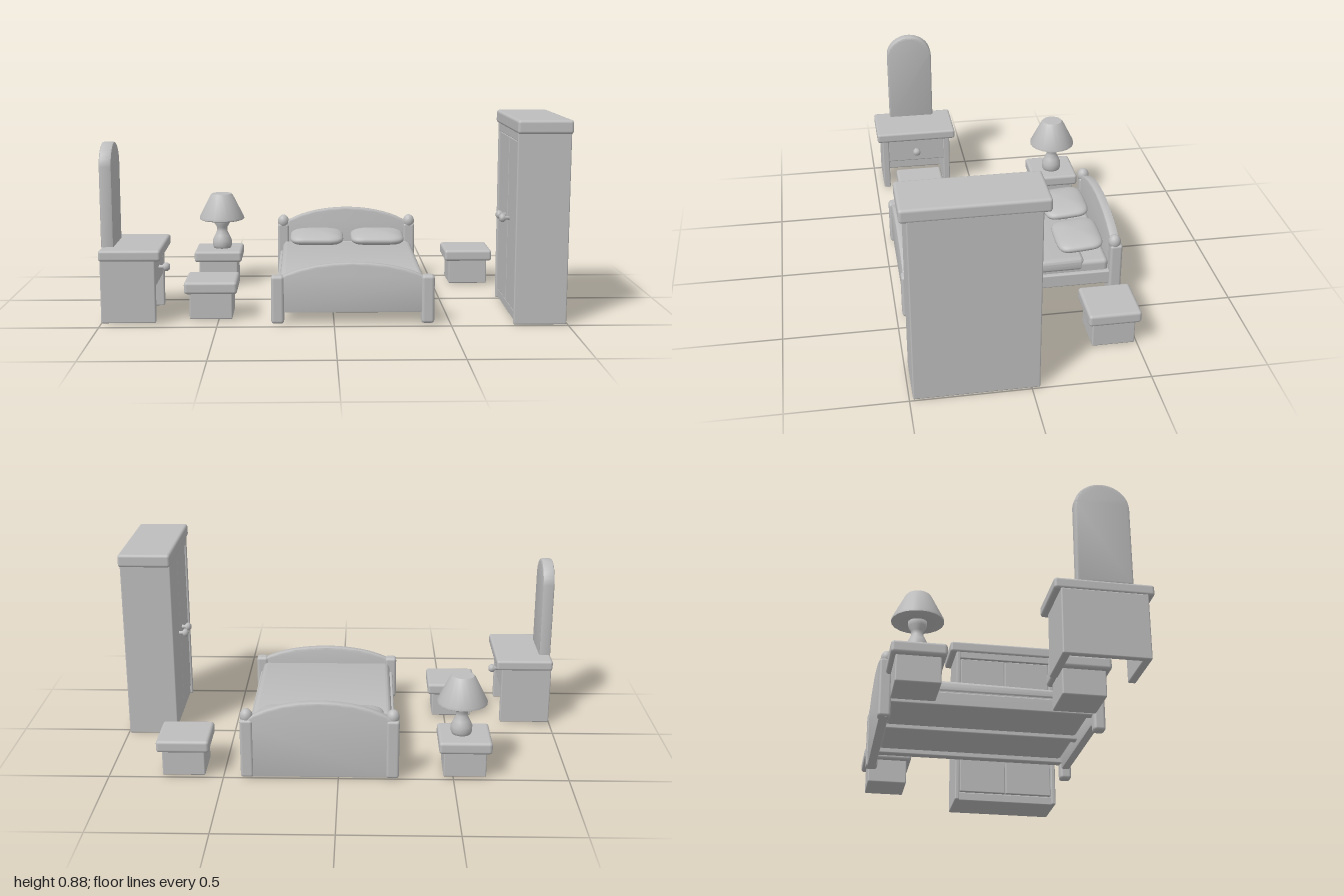
import * as THREE from 'three';
import { RoundedBoxGeometry } from 'three/addons/geometries/RoundedBoxGeometry.js';
import { toCreasedNormals } from 'three/addons/utils/BufferGeometryUtils.js';

const clay = new THREE.MeshStandardMaterial({ color: 0xbdbdbd });
clay.name = 'plain grey';

function add(parent, name, geometry, x = 0, y = 0, z = 0) {
  const mesh = new THREE.Mesh(geometry, clay);
  mesh.name = name;
  mesh.position.set(x, y, z);
  parent.add(mesh);
  return mesh;
}

function group(parent, name) {
  const g = new THREE.Group();
  g.name = name;
  parent.add(g);
  return g;
}

// Softened box given by its limits on each axis
function block(parent, name, [x0, x1], [y0, y1], [z0, z1], r = 0.006) {
  const geo = new RoundedBoxGeometry(x1 - x0, y1 - y0, z1 - z0, 2, r);
  return add(parent, name, geo, (x0 + x1) / 2, (y0 + y1) / 2, (z0 + z1) / 2);
}

// Board cut from a shape in the XY plane, thickness centred on z
function board(shape, thickness, bevel = 0.008) {
  const geo = new THREE.ExtrudeGeometry(shape, {
    depth: thickness - 2 * bevel, bevelEnabled: true, bevelThickness: bevel,
    bevelSize: bevel, bevelOffset: -bevel, bevelSegments: 2, curveSegments: 20,
  });
  geo.translate(0, 0, bevel - thickness / 2);
  return toCreasedNormals(geo, 0.6);
}

// Panel with an arched top edge
function archedPanel(halfWidth, bottom, shoulder, peak) {
  const s = new THREE.Shape();
  s.moveTo(-halfWidth, bottom);
  s.lineTo(halfWidth, bottom);
  s.lineTo(halfWidth, shoulder);
  s.bezierCurveTo(halfWidth * 0.55, peak + 0.005, -halfWidth * 0.55, peak + 0.005, -halfWidth, shoulder);
  s.closePath();
  return s;
}

// Knob on a short stem, pointing along x
function knob(parent, name, x, y, z, dir, length = 0.035) {
  const pts = [[0.001, 0], [0.009, 0], [0.008, length * 0.35], [0.019, length * 0.55],
    [0.019, length * 0.8], [0.011, length], [0.001, length]];
  const geo = new THREE.LatheGeometry(pts.map(p => new THREE.Vector2(...p)), 14);
  add(parent, name, geo, x, y, z).rotation.z = -dir * Math.PI / 2;
}

// Pillow: a box puffed up in the middle and thinned to its seams
function pillowGeometry(w, h, d) {
  const geo = new THREE.SphereGeometry(1, 32, 20);
  const p = geo.attributes.position;
  const square = v => Math.sign(v) * Math.pow(Math.abs(v), 0.45);
  for (let i = 0; i < p.count; i++) {
    const x = p.getX(i), y = p.getY(i), z = p.getZ(i);
    const ring = Math.hypot(x, z) || 1;
    const spread = Math.sqrt(Math.max(0, 1 - y * y));
    p.setXYZ(i, square(x / ring) * spread * w / 2,
      Math.sign(y) * Math.pow(Math.abs(y), 0.9) * h / 2, square(z / ring) * spread * d / 2);
  }
  geo.computeVertexNormals();
  return geo;
}

function buildBed(root) {
  const bed = group(root, 'bed');
  bed.position.x = 0.08;

  // Headboard and footboard, each with a pair of posts
  add(bed, 'headboard', board(archedPanel(0.335, 0.012, 0.265, 0.387), 0.042), 0, 0, -0.488);
  add(bed, 'footboard', board(archedPanel(0.335, 0.055, 0.195, 0.292), 0.04), 0, 0, 0.445);
  for (const s of [-1, 1]) {
    block(bed, 'headPost', [s * 0.315 - 0.028, s * 0.315 + 0.028], [0.012, 0.28], [-0.515, -0.46], 0.012);
    const finial = add(bed, 'headFinial', new THREE.SphereGeometry(0.028, 18, 12), s * 0.315, 0.29, -0.482);
    finial.scale.y = 1.2;
    block(bed, 'footPost', [s * 0.322 - 0.028, s * 0.322 + 0.028], [0.008, 0.218], [0.42, 0.474], 0.014);
    block(bed, 'sideRail', [s * 0.31 - 0.02, s * 0.31 + 0.02], [0.082, 0.145], [-0.47, 0.43]);
  }
  block(bed, 'centreRail', [-0.02, 0.02], [0.085, 0.13], [-0.47, 0.43]);

  // Mattress under a blanket that rises gently towards the head
  block(bed, 'mattress', [-0.312, 0.312], [0.105, 0.195], [-0.46, 0.425], 0.02);
  const blanket = new RoundedBoxGeometry(0.63, 0.062, 0.77, 8, 0.025);
  const p = blanket.attributes.position;
  for (let i = 0; i < p.count; i++) {
    if (p.getY(i) > 0) p.setY(i, p.getY(i) - 0.018 * p.getZ(i));
  }
  blanket.computeVertexNormals();
  add(bed, 'blanket', toCreasedNormals(blanket, 0.9), 0, 0.174, 0.035);

  // Pillows leaning slightly on the headboard
  for (const s of [-1, 1]) {
    const pillow = add(bed, 'pillow', pillowGeometry(0.26, 0.07, 0.21), s * 0.148, 0.236, -0.348);
    pillow.rotation.x = 0.08;
  }
}

function buildWardrobe(root) {
  const w = group(root, 'wardrobe');
  block(w, 'carcass', [0.79, 0.995], [0.004, 0.84], [-0.035, 0.485]);
  block(w, 'cornice', [0.762, 0.997], [0.824, 0.883], [-0.068, 0.513], 0.013);
  block(w, 'rearEndPanel', [0.767, 0.9], [0.004, 0.83], [-0.035, -0.013]);
  block(w, 'frontEndPanel', [0.767, 0.9], [0.004, 0.83], [0.463, 0.485]);
  block(w, 'topRail', [0.769, 0.85], [0.79, 0.83], [-0.025, 0.475], 0.004);
  block(w, 'plinth', [0.78, 0.85], [0.004, 0.045], [-0.025, 0.475], 0.004);
  // Pair of recessed doors
  block(w, 'rearDoor', [0.775, 0.81], [0.05, 0.787], [-0.01, 0.223], 0.004);
  block(w, 'frontDoor', [0.775, 0.81], [0.05, 0.787], [0.227, 0.46], 0.004);
  for (const z of [0.18, 0.27]) knob(w, 'doorKnob', 0.776, 0.432, z, -1, 0.045);
}

function buildDressingTable(root) {
  const t = group(root, 'dressingTable');
  block(t, 'tableTop', [-0.998, -0.735], [0.285, 0.333], [0.086, 0.486], 0.012);
  block(t, 'rearSidePanel', [-0.996, -0.762], [0.012, 0.29], [0.112, 0.145]);
  block(t, 'frontSidePanel', [-0.996, -0.762], [0.012, 0.29], [0.428, 0.461]);
  block(t, 'backPanel', [-0.996, -0.97], [0.012, 0.29], [0.115, 0.458]);
  block(t, 'drawer', [-0.98, -0.766], [0.16, 0.288], [0.142, 0.431], 0.005);
  knob(t, 'drawerKnob', -0.768, 0.222, 0.287, 1, 0.05);

  // Tall mirror with a round head, facing along +x
  const s = new THREE.Shape();
  s.moveTo(-0.113, 0.325);
  s.lineTo(0.113, 0.325);
  s.lineTo(0.113, 0.67);
  s.absellipse(0, 0.67, 0.113, 0.105, 0, Math.PI, false);
  s.closePath();
  add(t, 'mirror', board(s, 0.055, 0.01), -0.97, 0, 0.291).rotation.y = Math.PI / 2;
}

// Low square stand with an overhanging top, used as stool and bedside table
function buildStand(root, name, x, z) {
  const g = group(root, name);
  g.position.set(x, 0, z);
  block(g, 'top', [-0.115, 0.115], [0.122, 0.177], [-0.114, 0.114], 0.014);
  block(g, 'base', [-0.093, 0.093], [0.008, 0.135], [-0.093, 0.093]);
  return g;
}

function buildLamp(root) {
  const lamp = group(root, 'lamp');
  lamp.position.set(-0.536, 0, -0.386);
  const foot = [[0.001, 0.172], [0.04, 0.172], [0.047, 0.19], [0.047, 0.215], [0.036, 0.24],
    [0.025, 0.262], [0.026, 0.28], [0.038, 0.3], [0.04, 0.33], [0.001, 0.34]];
  add(lamp, 'lampBase', new THREE.LatheGeometry(foot.map(p => new THREE.Vector2(...p)), 20));
  const shade = [[0.001, 0.325], [0.1, 0.318], [0.11, 0.323], [0.109, 0.333],
    [0.056, 0.438], [0.048, 0.447], [0.001, 0.447]];
  const geo = new THREE.LatheGeometry(shade.map(p => new THREE.Vector2(...p)), 20);
  add(lamp, 'lampShade', toCreasedNormals(geo, 0.7));
}

export function createModel() {
  const room = new THREE.Group();
  room.name = 'bedroomSet';
  buildBed(room);
  buildWardrobe(room);
  buildDressingTable(room);
  buildStand(room, 'stool', -0.533, 0.29);
  buildStand(room, 'leftBedsideTable', 0.673, -0.396);
  buildStand(room, 'rightBedsideTable', -0.55, -0.388);
  buildLamp(room);
  return room;
}
